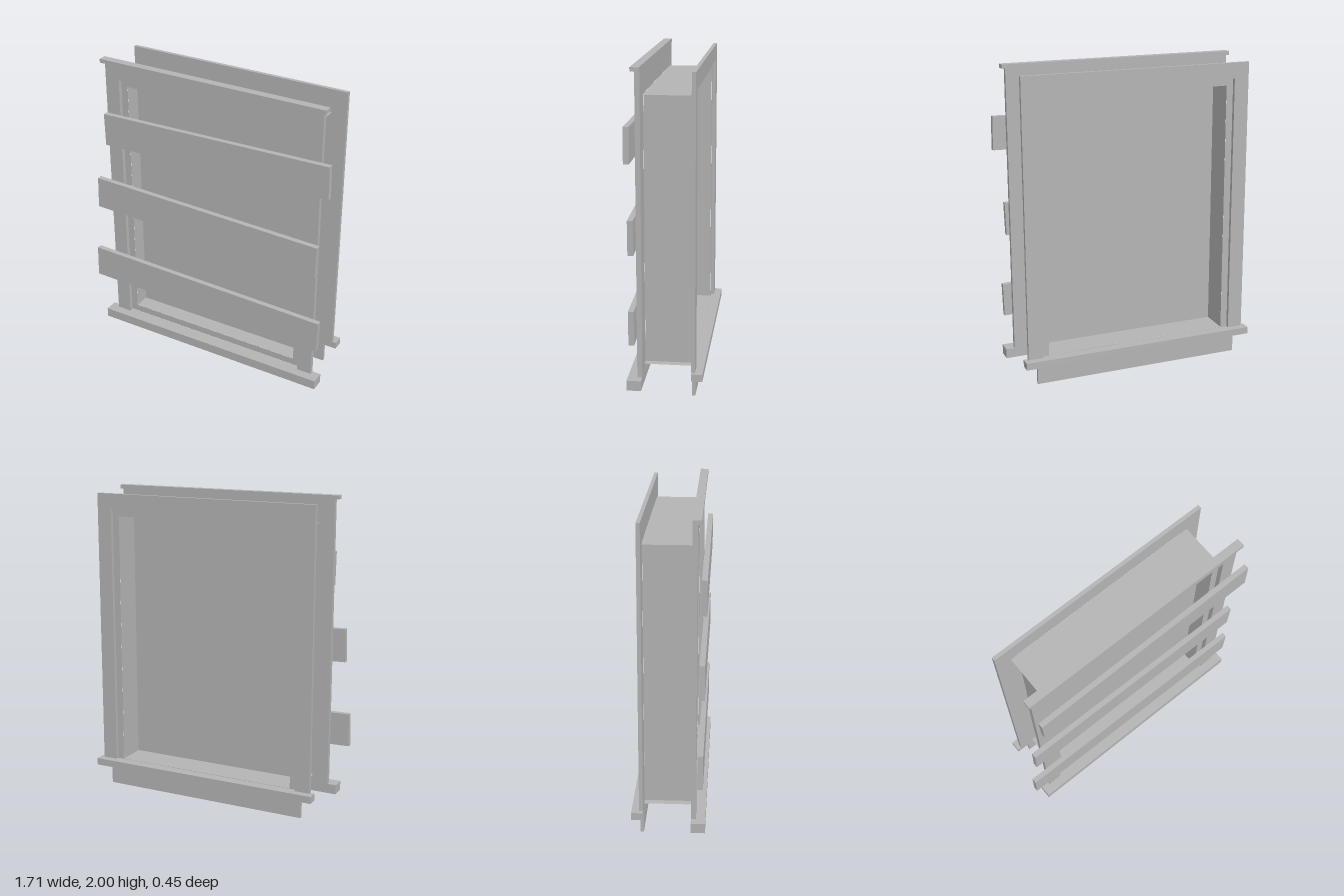
import * as THREE from 'three';

export function createModel() {
  const model = new THREE.Group();
  const grey = new THREE.MeshStandardMaterial({ color: 0xb4b4b4, side: THREE.DoubleSide });
  grey.name = 'plain grey';
  const CX = 0.02; // centre line of the window itself

  function add(name, geometry, x, y, z) {
    const mesh = new THREE.Mesh(geometry, grey);
    mesh.name = name;
    mesh.position.set(x, y, z);
    model.add(mesh);
    return mesh;
  }
  // Box given by its half width about the window centre and its y and z ranges
  function bar(name, half, y0, y1, z0, z1) {
    return add(name, new THREE.BoxGeometry(half * 2, y1 - y0, z1 - z0), CX, (y0 + y1) / 2, (z0 + z1) / 2);
  }
  // Upside-down U surround, open at the bottom
  function casing(name, bottom, z0, z1) {
    const s = new THREE.Shape();
    [[-0.753, bottom], [-0.655, bottom], [-0.655, 1.873], [0.655, 1.873], [0.655, bottom],
      [0.753, bottom], [0.753, 1.975], [-0.753, 1.975]]
      .forEach(([x, y], i) => (i ? s.lineTo(x, y) : s.moveTo(x, y)));
    add(name, new THREE.ExtrudeGeometry(s, { depth: z1 - z0, bevelEnabled: false }), CX, 0, z0);
  }
  // Thin rectangular ring between the jamb and the casing
  function flange(name, z) {
    const s = new THREE.Shape();
    s.moveTo(-0.655, 0.132).lineTo(0.655, 0.132).lineTo(0.655, 1.873).lineTo(-0.655, 1.873);
    const h = new THREE.Path();
    h.moveTo(-0.61, 0.178).lineTo(-0.61, 1.828).lineTo(0.61, 1.828).lineTo(0.61, 0.178);
    s.holes.push(h);
    add(name, new THREE.ShapeGeometry(s), CX, 0, z);
  }

  // Surrounds and their inner steps
  casing('frontCasing', 0.13, 0.14, 0.17);
  casing('backCasing', 0.175, -0.178, -0.154);
  flange('frontStep', 0.141);
  flange('backStep', -0.155);

  // Jamb tunnel: thin sides, head and floor
  const zMid = -0.007, depth = 0.294;
  for (const [side, name] of [[-1, 'rightJamb'], [1, 'leftJamb']]) {
    const jamb = add(name, new THREE.PlaneGeometry(depth, 1.65), CX + side * 0.61, 1.003, zMid);
    jamb.rotation.y = side * Math.PI / 2;
  }
  for (const [y, name] of [[0.178, 'jambFloor'], [1.828, 'jambHead']]) {
    const plate = add(name, new THREE.PlaneGeometry(1.31, depth), CX, y, zMid);
    plate.rotation.x = -Math.PI / 2;
  }

  // Pane closing the opening
  add('pane', new THREE.PlaneGeometry(1.22, 1.65), CX, 1.003, 0.035);

  // Trim, sills and apron
  bar('headTrim', 0.775, 1.975, 2, 0.14, 0.193);
  bar('frontSill', 0.81, 0.067, 0.13, 0.14, 0.228);
  bar('backSill', 0.78, 0.13, 0.176, -0.225, -0.156);
  bar('apron', 0.694, 0, 0.13, -0.175, -0.154);

  // Crooked boards nailed across the front: length, x, y, z, tilt
  [[1.572, 0.066, 1.553, 0.21, 0.018],
    [1.602, -0.01, 1.03, 0.202, -0.031],
    [1.677, -0.015, 0.481, 0.197, -0.025]].forEach(([len, x, y, z, tilt], i) => {
    const board = add('board' + (i + 1), new THREE.BoxGeometry(len, 0.214, 0.034), x, y, z);
    board.rotation.z = tilt;
  });

  return model;
}
